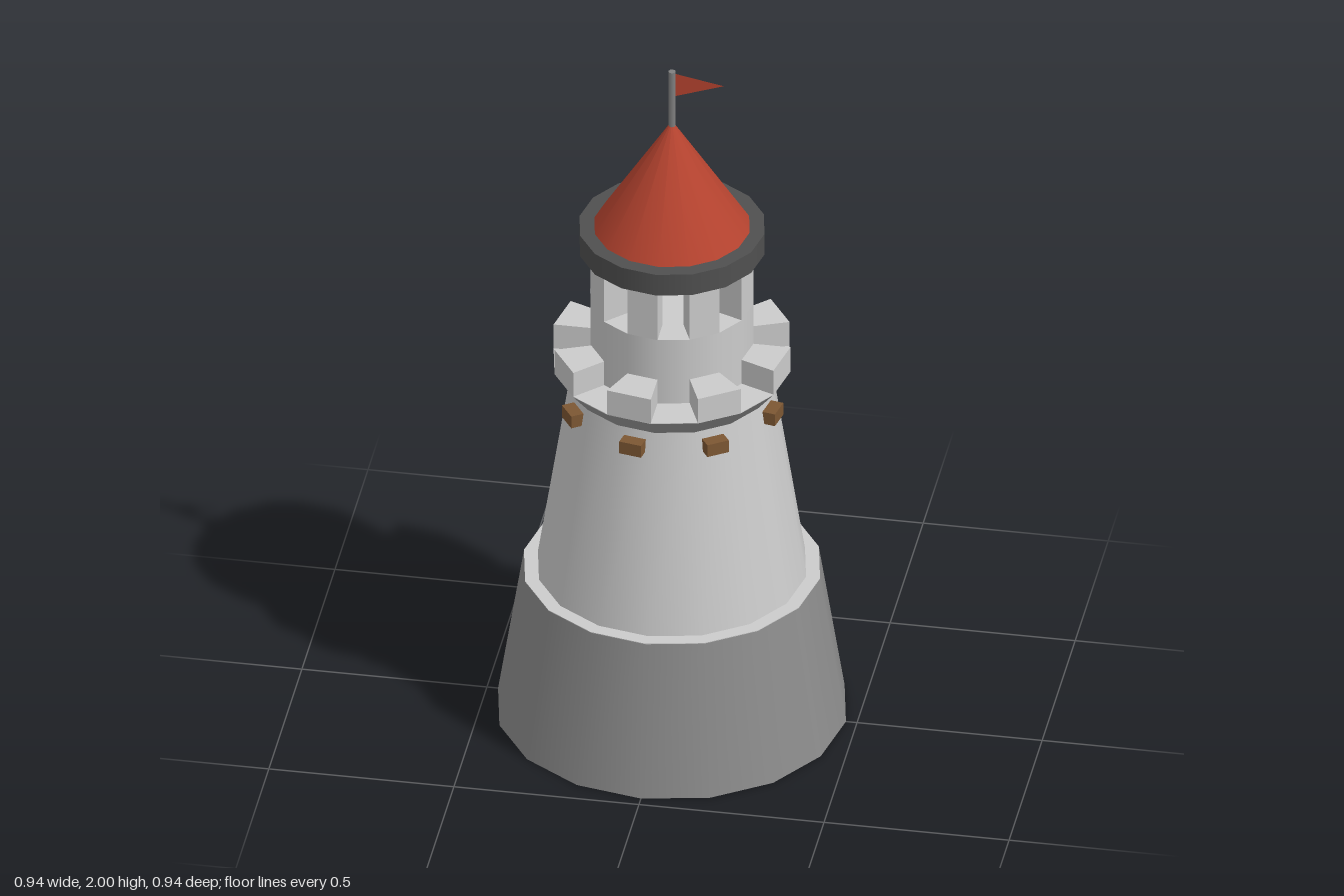
import * as THREE from 'three';

const SIDES = 16;
const STEP = (Math.PI * 2) / SIDES;

function material(color = 0xcccccc, options = {}) {
  return new THREE.MeshStandardMaterial({ color, ...options });
}

export function createModel() {
  const model = new THREE.Group();
  const stone = material();
  const darkStone = material(0x8c8c8c);
  const slate = material(0x505050);
  const wood = material(0x7d5733);
  const red = material(0xb5432f);

  function add(name, geometry, mat, parent = model) {
    const mesh = new THREE.Mesh(geometry, mat);
    mesh.name = name;
    parent.add(mesh);
    return mesh;
  }

  // Round sixteen-sided section between two heights
  function drum(name, rBottom, rTop, y0, y1, mat, open = false, sides = SIDES) {
    const geometry = new THREE.CylinderGeometry(rTop, rBottom, y1 - y0, sides, 1, open);
    geometry.translate(0, (y0 + y1) / 2, 0);
    return add(name, geometry, mat);
  }

  // Eight wall blocks, each filling every other side of the ring
  function blockRing(name, rIn, rOut, y0, y1) {
    const group = new THREE.Group();
    group.name = name + 's';
    const c = Math.cos(STEP), s = Math.sin(STEP);
    const shape = new THREE.Shape([
      new THREE.Vector2(rIn, 0),
      new THREE.Vector2(rOut, 0),
      new THREE.Vector2(rOut * c, rOut * s),
      new THREE.Vector2(rIn * c, rIn * s),
    ]);
    const geometry = new THREE.ExtrudeGeometry(shape, { depth: y1 - y0, bevelEnabled: false });
    geometry.rotateX(Math.PI / 2);
    geometry.translate(0, y1, 0);
    for (let i = 0; i < SIDES / 2; i++) {
      add(name, geometry, stone, group).rotation.y = -i * 2 * STEP;
    }
    model.add(group);
  }

  // Base with a pale ledge on top
  drum('base', 0.47, 0.4, 0, 0.443, darkStone);
  drum('baseLedge', 0.4, 0.4, 0.443, 0.445, stone);

  // Tapered shaft and flared gallery
  drum('shaft', 0.363, 0.272, 0.44, 1.03, stone);
  drum('galleryFlare', 0.272, 0.32, 1.03, 1.088, material(0x999999));
  drum('galleryFloor', 0.32, 0.32, 1.088, 1.09, stone);
  blockRing('merlon', 0.21, 0.32, 1.09, 1.165);

  // Wooden beam ends below the gallery
  const beams = new THREE.Group();
  beams.name = 'beamEnds';
  const beamGeometry = new THREE.BoxGeometry(0.07, 0.037, 0.062);
  beamGeometry.translate(0.271, 0.988, 0);
  for (let i = 0; i < SIDES / 2; i++) {
    add('beamEnd', beamGeometry, wood, beams).rotation.y = -(i * 2 + 0.5) * STEP;
  }
  model.add(beams);

  // Lantern room with open windows between its pillars
  drum('upperTower', 0.22, 0.22, 1.09, 1.29, stone);
  blockRing('windowPillar', 0.14, 0.22, 1.29, 1.45);

  // Eaves and cone roof
  drum('eaves', 0.25, 0.25, 1.45, 1.515, slate);
  const roof = new THREE.ConeGeometry(0.21, 0.33, SIDES);
  roof.translate(0, 1.68, 0);
  add('roof', roof, red);

  // Pole and pennant
  drum('flagPole', 0.01, 0.01, 1.8, 2, material(0x808080), false, 8);
  const pennant = new THREE.Shape([
    new THREE.Vector2(0, 1.92),
    new THREE.Vector2(0.138, 1.96),
    new THREE.Vector2(0, 1.995),
  ]);
  const flag = add('flag', new THREE.ShapeGeometry(pennant),
    material(0xb5432f, { side: THREE.DoubleSide }));
  flag.rotation.y = 0.1;

  return model;
}
